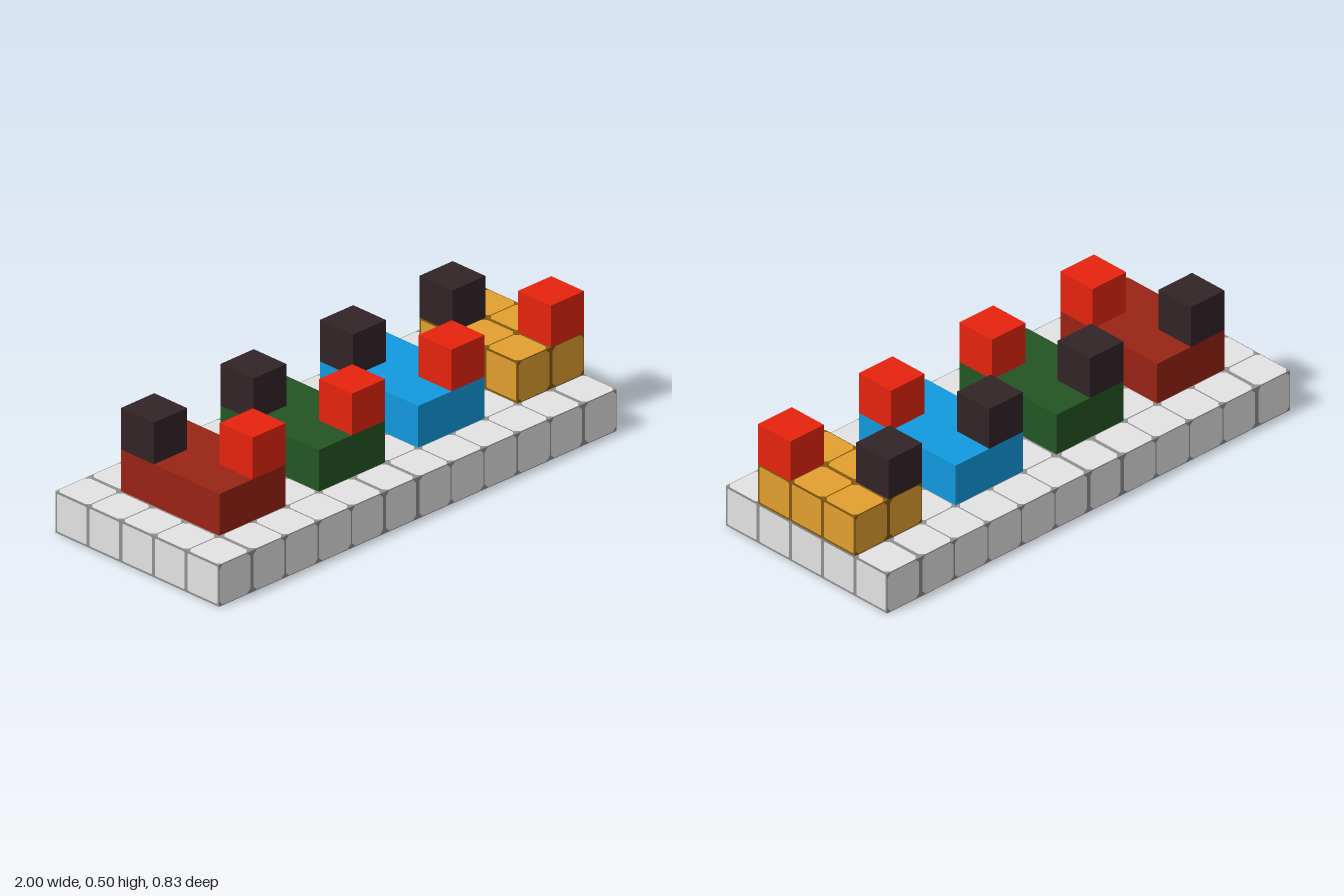
import * as THREE from 'three';

const U = 1 / 6;      // one building cell
const WIDE = 0.008;   // half width of a broad seam
const THIN = 0.003;   // half width of a fine seam

const mat = (name, color) => {
  const m = new THREE.MeshStandardMaterial({ color, side: THREE.DoubleSide });
  m.name = name;
  return m;
};

// One square cell facing +z; when framed, a seam border surrounds a face with cut corners
function cell(face, seam, matrix, u, v, frame) {
  const put = (out, ...pts) => {
    for (let k = 1; k < pts.length - 1; k++) {
      for (const [x, y] of [pts[0], pts[k], pts[k + 1]]) {
        out.push(...new THREE.Vector3(x, y, 0).applyMatrix4(matrix).toArray());
      }
    }
  };
  const R = [[u, v], [u + U, v], [u + U, v + U], [u, v + U]];
  if (!frame) return put(face, ...R);
  const { left, right, ends, cut } = frame;
  const x0 = u + left, x1 = u + U - right, y0 = v + ends, y1 = v + U - ends;
  const O = [
    [x0, y0 + cut], [x0 + cut, y0], [x1 - cut, y0], [x1, y0 + cut],
    [x1, y1 - cut], [x1 - cut, y1], [x0 + cut, y1], [x0, y1 - cut],
  ];
  put(face, ...O);
  for (let k = 0; k < 4; k++) {
    put(seam, R[k], O[2 * k + 1], O[2 * k]);
    put(seam, R[k], R[(k + 1) % 4], O[(2 * k + 2) % 8], O[2 * k + 1]);
  }
}

// Open-bottomed shell, one cell high: four walls and a top that may have holes.
// With a seam material its cells are outlined; wide lists the broad seams along x.
function shell(name, material, nx, nz, { seamMaterial, wide = [], hole = () => false } = {}) {
  const face = [], seam = [];
  const width = i => (wide.includes(i) ? WIDE : THIN);
  const frameX = i => seamMaterial && { left: width(i), right: width(i + 1), ends: THIN, cut: 0.016 };
  const frameZ = seamMaterial && { left: WIDE, right: WIDE, ends: WIDE, cut: 0.004 };

  for (let k = 0; k < 4; k++) {
    const n = k % 2 ? nz : nx;
    const m = new THREE.Matrix4().makeRotationY(k * Math.PI / 2)
      .multiply(new THREE.Matrix4().makeTranslation(0, 0, (k % 2 ? nx : nz) * U / 2));
    for (let i = 0; i < n; i++) {
      const column = k === 2 ? n - 1 - i : i;
      let frame = k % 2 ? frameZ : frameX(column);
      if (k === 2 && frame) frame = { ...frame, left: frame.right, right: frame.left };
      cell(face, seam, m, (i - n / 2) * U, 0, frame);
    }
  }
  const up = new THREE.Matrix4().makeTranslation(0, U, 0)
    .multiply(new THREE.Matrix4().makeRotationX(-Math.PI / 2));
  for (let i = 0; i < nx; i++) {
    for (let j = 0; j < nz; j++) {
      if (!hole(i, j)) cell(face, seam, up, (i - nx / 2) * U, (j - nz / 2) * U, frameX(i));
    }
  }

  const geo = new THREE.BufferGeometry();
  geo.setAttribute('position', new THREE.Float32BufferAttribute([...face, ...seam], 3));
  geo.computeVertexNormals();
  geo.addGroup(0, face.length / 3, 0);
  if (seamMaterial) geo.addGroup(face.length / 3, seam.length / 3, 1);
  const mesh = new THREE.Mesh(geo, seamMaterial ? [material, seamMaterial] : [material]);
  mesh.name = name;
  return mesh;
}

export function createModel() {
  const model = new THREE.Group();
  model.name = 'blockBoard';
  const grey = mat('light grey', 0xe3e3e3);
  const greySeam = mat('seam grey', 0x909090);
  const red = mat('red', 0xe6230e);
  const black = mat('charcoal', 0x322427);
  const blocks = [
    ['maroonBlock', mat('maroon', 0x982414)],
    ['greenBlock', mat('dark green', 0x245524)],
    ['blueBlock', mat('blue', 0x129ae0)],
    ['yellowBlock', mat('ochre', 0xe2a02f), mat('seam brown', 0x835a10)],
  ];

  // Base slab, open below and under each block
  model.add(shell('base', grey, 12, 5, {
    seamMaterial: greySeam,
    wide: [1, 5, 6, 11],
    hole: (i, j) => i % 3 !== 0 && j >= 1 && j <= 3,
  }));

  // Four blocks, each with a charcoal cube at the back and a red one in front
  blocks.forEach(([name, material, seamMaterial], n) => {
    const unit = new THREE.Group();
    unit.name = name + 'Group';
    unit.position.set((3 * n - 4) * U, U, 0);
    unit.add(shell(name, material, 2, 3, {
      seamMaterial,
      wide: [1],
      hole: (i, j) => j === 2 - 2 * i,
    }));
    const back = shell('backCube', black, 1, 1);
    back.position.set(-U / 2, U, -U);
    const front = shell('frontCube', red, 1, 1);
    front.position.set(U / 2, U, U);
    unit.add(back, front);
    model.add(unit);
  });
  return model;
}
